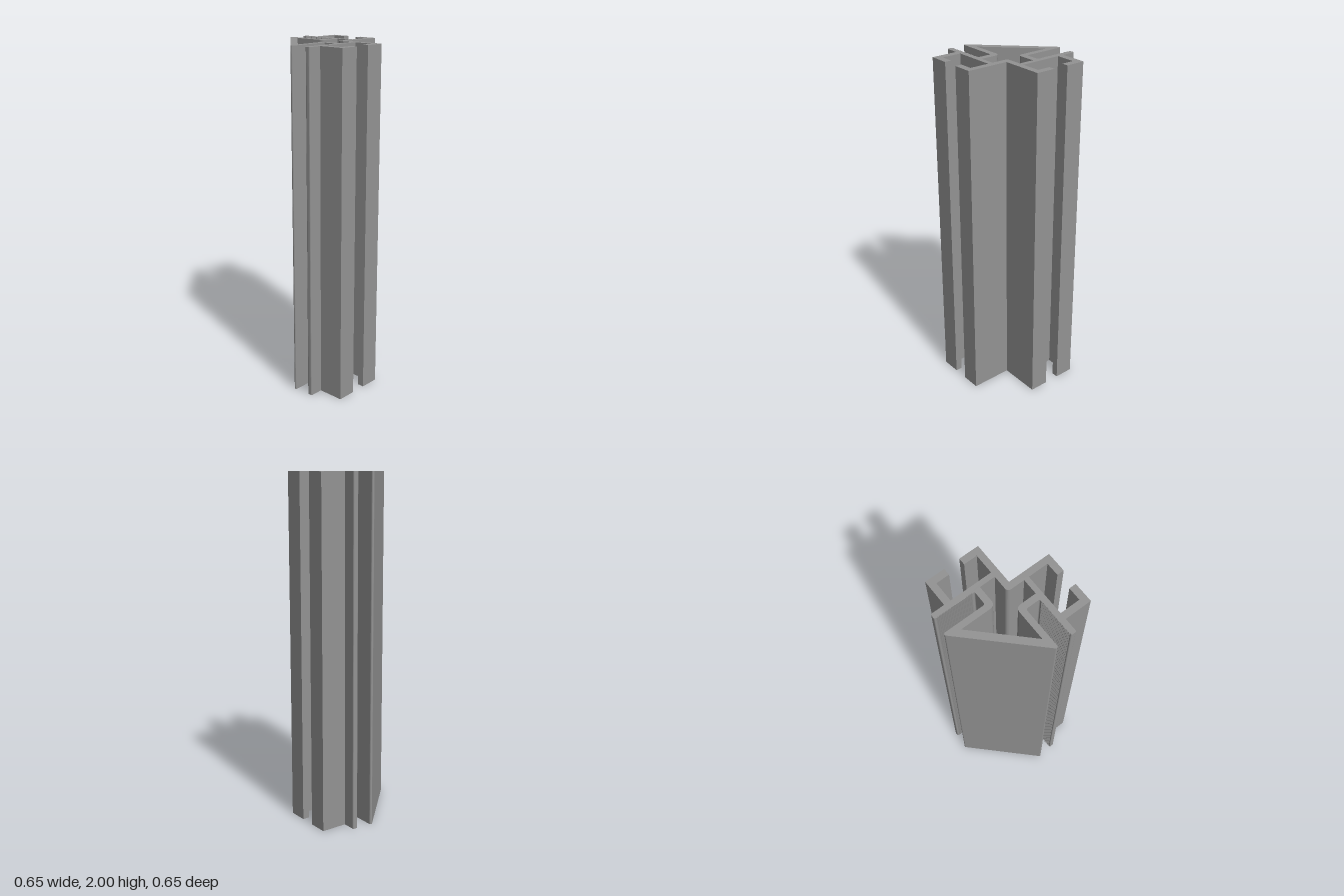
import * as THREE from 'three';

// Turn corners [x, y, radius] into a closed outline with true arcs
function outline(corners) {
  const n = corners.length;
  const points = [];
  corners.forEach(([x, y, r = 0], i) => {
    const p = new THREE.Vector2(x, y);
    if (!r) return points.push(p);
    const [ax, ay] = corners[(i + n - 1) % n];
    const [bx, by] = corners[(i + 1) % n];
    const a = new THREE.Vector2(ax, ay).sub(p).normalize();
    const b = new THREE.Vector2(bx, by).sub(p).normalize();
    const half = Math.acos(a.dot(b)) / 2;
    const centre = a.clone().add(b).normalize().multiplyScalar(r / Math.sin(half)).add(p);
    const start = a.multiplyScalar(r / Math.tan(half)).add(p).sub(centre);
    const sweep = (Math.PI - 2 * half) * Math.sign(start.cross(p.clone().sub(centre)));
    const steps = Math.ceil(Math.abs(sweep) / 0.2);
    for (let k = 0; k <= steps; k++) {
      points.push(start.clone().rotateAround(new THREE.Vector2(), sweep * k / steps).add(centre));
    }
  });
  return points;
}

// The section is symmetric about the line x = y: swap coordinates for the second half
const swapped = (half) => half.map(([x, y, r]) => [y, x, r]).reverse();

export function createModel() {
  const group = new THREE.Group();
  group.name = 'extrudedProfile';

  // Fine grip teeth along the inner face of the flange
  const teeth = [];
  const count = 24, x0 = -0.304, pitch = 0.0089;
  for (let i = 0; i < count; i++) {
    teeth.push([x0 + i * pitch, 0.1425], [x0 + (i + 0.5) * pitch, 0.1385]);
  }

  const outerHalf = [
    // T-slot channel with two lips
    [0.081, 0.326], [-0.032, 0.326], [-0.032, 0.287], [0.044, 0.287],
    [0.044, 0.173], [-0.197, 0.173], [-0.197, 0.287], [-0.122, 0.287],
    [-0.122, 0.326], [-0.235, 0.326], [-0.235, 0.173],
    // toothed flange
    [-0.315, 0.173, 0.008], [-0.315, 0.141, 0.007],
    ...teeth,
    // glazing groove and rounded tip of the diagonal wall
    [-0.081, 0.1395, 0.006], [-0.081, 0.057, 0.009], [-0.337, 0.057, 0.009],
  ];
  const chamberHalf = [
    [0.044, 0.144], [-0.045, 0.144], [-0.045, 0.023, 0.028], [-0.247, 0.023],
  ];

  const section = new THREE.Shape(outline([[0.081, 0.081], ...outerHalf, ...swapped(outerHalf)]));
  section.holes.push(new THREE.Path(
    outline([[0.044, 0.044, 0.02], ...chamberHalf, ...swapped(chamberHalf)])));

  // Extrude the section and stand it upright
  const geometry = new THREE.ExtrudeGeometry(section, { depth: 2, bevelEnabled: false });
  geometry.rotateX(-Math.PI / 2);

  const post = new THREE.Mesh(geometry, new THREE.MeshStandardMaterial({ color: 0x939393 }));
  post.name = 'cornerPost';
  group.add(post);
  return group;
}
